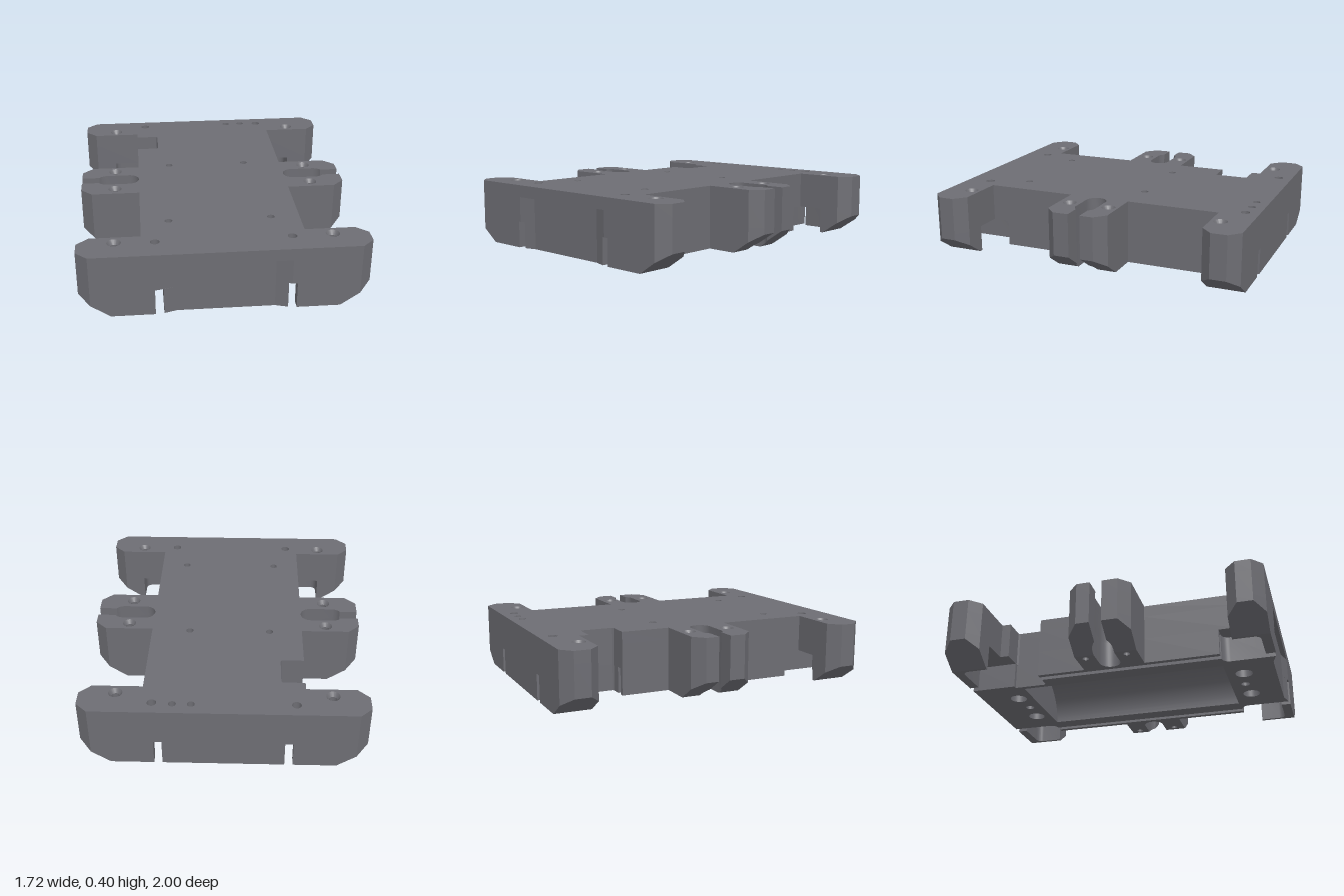
import * as THREE from 'three';
import { toCreasedNormals } from 'three/addons/utils/BufferGeometryUtils.js';

const metal = new THREE.MeshStandardMaterial({ color: 0x6d6d73 });
metal.name = 'gunmetal grey';

const SLOPE_X = 0.675; // where the underside bevel starts
const FLOOR = 0.165, DECK = 0.322, TOP = 0.397;

const mirror = (pts) => pts.map(([x, z]) => [-x, z]).reverse();
const toV = (pts) => pts.map(([x, z]) => new THREE.Vector2(x, -z));
const arc = (cx, cz, r, a0, a1, n = 12) => {
  const pts = [];
  for (let i = 0; i <= n; i++) {
    const a = a0 + ((a1 - a0) * i) / n;
    pts.push([cx + r * Math.cos(a), cz + r * Math.sin(a)]);
  }
  return pts;
};
const circle = (x, z, r) => arc(x, z, r, 0, Math.PI * 2, 32).slice(0, 32);

// Plan outline (x, z) raised from y0 to y1
function slab(pts, holes, y0, y1) {
  const shape = new THREE.Shape(toV(pts));
  for (const h of holes) shape.holes.push(new THREE.Path(toV(h)));
  const g = new THREE.ExtrudeGeometry(shape, { depth: y1 - y0, bevelEnabled: false });
  g.rotateX(-Math.PI / 2);
  g.translate(0, y0, 0);
  return g;
}

// Open cone and bore of a countersunk screw, facing inward
function screwSeat(x, z) {
  const g = new THREE.LatheGeometry(
    [[0.042, TOP], [0.025, 0.37], [0.025, DECK]].map(([r, y]) => new THREE.Vector2(r, y)), 32);
  g.translate(x, 0, z);
  return g;
}

export function createModel() {
  const group = new THREE.Group();
  const add = (name, geometry) => {
    const mesh = new THREE.Mesh(toCreasedNormals(geometry, 0.24), metal);
    mesh.name = name;
    group.add(mesh);
  };

  // Keyhole slot in the middle arms
  const R = 0.065, C = 0.038, A = Math.asin(C / R);
  const innerArc = arc(0.55, 0, R, Math.PI / 2, Math.PI * 1.5, 16);
  const outerFront = arc(0.695, 0, R, A, Math.PI / 2, 5);
  const outerBack = outerFront.map(([x, z]) => [x, -z]).reverse();

  // Side outline from front to back, with an optional notch in the wall
  const notchPts = [[0.485, -0.497], [0.35, -0.497], [0.34, -0.507], [0.34, -0.7], [0.35, -0.71], [0.485, -0.71]];
  const side = (notch) => [
    [0.79, 1], [0.86, 0.935], [0.86, 0.84], [0.79, 0.775], [0.485, 0.775],
    [0.485, 0.203], [0.79, 0.203], [0.86, 0.137], [0.86, C],
    ...outerFront, ...innerArc, ...outerBack,
    [0.86, -C], [0.86, -0.122], [0.79, -0.187], [0.485, -0.187],
    ...(notch ? notchPts : []),
    [0.485, -0.768], [0.79, -0.768], [0.86, -0.835], [0.86, -0.935], [0.79, -1],
  ];
  const outline = [...side(false), ...mirror(side(true))];
  const recess = [[-0.4, 1], [-0.29, 0.97], [0.29, 0.97], [0.385, 1]];

  const through = [[-0.425, -0.913], [0.42, -0.913], [-0.405, 0.847], [0.4, 0.847]].map(([x, z]) => circle(x, z, 0.028));
  const blind = [[0.19, -0.92], [0.3, -0.92], [-0.275, -0.2], [0.24, -0.2], [-0.315, 0.6], [0.31, 0.6]].map(([x, z]) => circle(x, z, 0.023));
  const screws = [];
  for (const x of [-0.642, 0.642]) for (const z of [-0.828, -0.127, 0.133, 0.837]) screws.push([x, z]);

  // Top plate with all drilled holes
  add('topPlate', slab(outline, [...through, ...blind, ...screws.map(([x, z]) => circle(x, z, 0.042))], DECK, TOP));
  for (const [x, z] of screws) add('screwSeat', screwSeat(x, z));

  // Middle layer, open over the trough and recessed at the front
  const T = 0.66, W = 0.32;
  const trough = [[-W, -T], [W, -T], [W, T], [-W, T]];
  add('bodyLayer', slab([...recess, ...outline], [...through, trough], FLOOR, DECK));

  // Curved trough running along the underside
  const troughShape = new THREE.Shape();
  troughShape.moveTo(W, 0);
  troughShape.lineTo(W, DECK);
  troughShape.lineTo(-W, DECK);
  troughShape.lineTo(-W, 0);
  for (let i = 0; i <= 32; i++) {
    const a = Math.PI * (1 - i / 32);
    troughShape.lineTo(0.31 * Math.cos(a), 0.27 * Math.sin(a));
  }
  const liner = new THREE.ExtrudeGeometry(troughShape, { depth: 2 * T, bevelEnabled: false });
  liner.translate(0, 0, -T);
  add('troughLiner', liner);

  // Lower body, flaring out behind the end slots to the long side grooves
  const G0 = 0.365, G1 = 0.415, S = SLOPE_X;
  const lowerSide = (notch) => [
    [0.29, 0.97], [G0, 0.993], ...arc(G1, 0.72, G1 - G0, Math.PI, Math.PI * 1.5, 8),
    ...(notch
      ? [[G1, -0.497], [0.35, -0.497], [0.34, -0.507], [0.34, -0.71], [G0, -0.71]]
      : arc(G1, -0.74, G1 - G0, Math.PI / 2, Math.PI, 8)),
    [G0, -1],
  ];
  const bolts = [];
  for (const z of [-0.76, 0.77]) {
    bolts.push(circle(-0.165, z, 0.055), circle(0.165, z, 0.055), circle(0, z * 0.98, 0.028));
  }
  add('underBody', slab([...lowerSide(false), ...mirror(lowerSide(true))], [trough, ...bolts], 0, FLOOR));

  // Sloped arm tips, front to back
  const tips = [
    [[S, 1], [0.79, 1], [0.86, 0.935], [0.86, 0.84], [0.79, 0.775], [S, 0.775]],
    [[S, 0.203], [0.79, 0.203], [0.86, 0.137], [0.86, C], ...outerFront, [S, R]],
    [[S, -R], ...outerBack, [0.86, -C], [0.86, -0.122], [0.79, -0.187], [S, -0.187]],
    [[S, -0.768], [0.79, -0.768], [0.86, -0.835], [0.86, -0.935], [0.79, -1], [S, -1]],
  ];
  // Corner arm: outer wall with a rounded pocket open towards the middle
  const cornerArm = (d, inner) => [
    [G1, d], [S, d], [S, d * inner], [0.655, d * inner],
    ...arc(0.615, d * 0.9, 0.04, 0, (d * Math.PI) / 2, 8), [G1, d * 0.94],
  ];
  for (const s of [1, -1]) {
    const m = (pts) => (s > 0 ? pts : mirror(pts));
    const wallEnd = s > 0 ? -0.69 : -0.497;
    // Side wall and middle arms
    add('sideWall', slab(m([
      [0.455, 0.67], [0.485, 0.67], [0.485, 0.203], [S, 0.203], [S, R], ...innerArc,
      [S, -R], [S, -0.187], [0.485, -0.187], [0.485, wallEnd], [0.455, wallEnd],
    ]), [m(circle(0.635, 0.133, 0.02)), m(circle(0.635, -0.127, 0.02))], 0, FLOOR));
    add('frontArm', slab(m(cornerArm(1, 0.775)), [], 0, FLOOR));
    add('backArm', slab(m(cornerArm(-1, 0.768)), [], 0, FLOOR));
    for (const tip of tips) {
      const g = slab(m(tip), [], 0, FLOOR);
      const p = g.attributes.position;
      for (let i = 0; i < p.count; i++) {
        if (p.getY(i) < 0.01) p.setY(i, Math.max(0, (Math.abs(p.getX(i)) - S) * 0.676));
      }
      add('armTip', g);
    }
  }
  return group;
}
